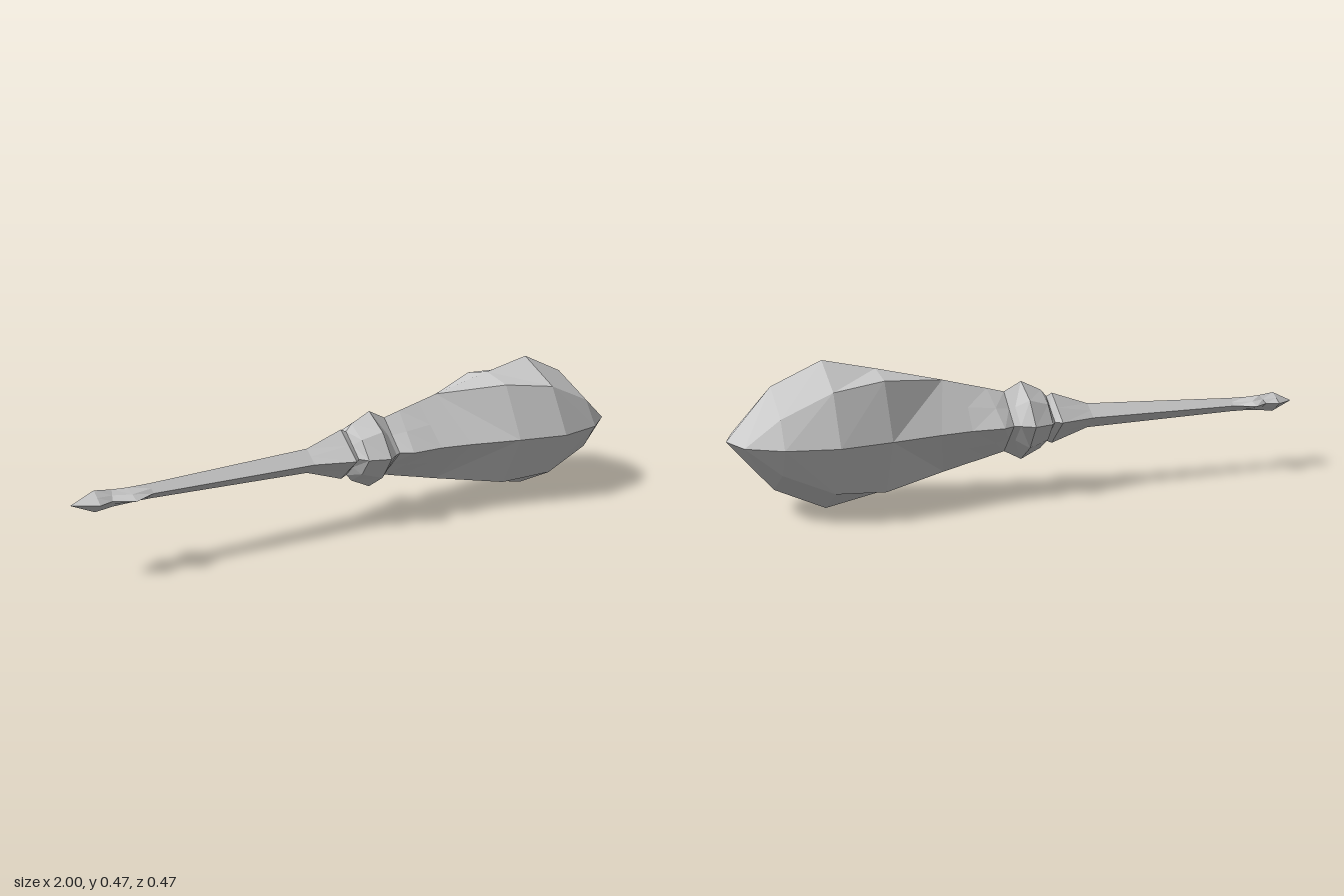
import * as THREE from 'three';

const AXIS_Y = 0.235;

// Ring: [top x, top radius, side x, side radius, diagonal].
// The diagonal is a scale (0.5 gives a plain diamond) or an explicit [x, y, z].
function ringPoints([xt, ry, xs, rz, d = 0.5]) {
  const diagonal = Array.isArray(d) ? d : [(xt + xs) / 2, ry * d, rz * d];
  return [[xt, ry, 0], diagonal, [xs, 0, rz]];
}

// Joins the rings in one quadrant and mirrors it around the x axis.
function loft(name, rings, material) {
  const pos = [];
  const pts = rings.map(ringPoints);
  for (const sy of [1, -1]) for (const sz of [1, -1]) {
    const add = (a, b, c) => {
      const u = new THREE.Vector3(...b).sub(new THREE.Vector3(...a));
      const v = new THREE.Vector3(...c).sub(new THREE.Vector3(...a));
      if (u.cross(v).length() < 1e-8) return;
      const tri = sy * sz > 0 ? [a, b, c] : [a, c, b];
      for (const p of tri) pos.push(p[0], p[1] * sy, p[2] * sz);
    };
    for (let i = 0; i < pts.length - 1; i++) {
      for (let j = 0; j < 2; j++) {
        const a = pts[i][j], b = pts[i][j + 1];
        const c = pts[i + 1][j + 1], d = pts[i + 1][j];
        add(a, b, c);
        add(a, c, d);
      }
    }
  }
  const geometry = new THREE.BufferGeometry();
  geometry.setAttribute('position', new THREE.Float32BufferAttribute(pos, 3));
  geometry.computeVertexNormals();
  const mesh = new THREE.Mesh(geometry, material);
  mesh.name = name;
  mesh.position.y = AXIS_Y;
  return mesh;
}

export function createModel() {
  const grey = new THREE.MeshStandardMaterial({ color: 0xcccccc, flatShading: true });
  grey.name = 'light grey';
  const group = new THREE.Group();
  group.name = 'tool';

  // Pointed tip with two small side barbs
  const neck = [-0.75, 0.024, -0.75, 0.03];
  group.add(loft('tip', [
    [-1, 0, -1, 0],
    [-0.925, 0.034, -0.925, 0.048],
    [-0.87, 0.027, -0.88, 0.03],
    [-0.82, 0.024, -0.82, 0.07],
    neck,
  ], grey));

  // Slender shaft widening into a flare
  const flareEnd = [-0.05, 0.075, -0.05, 0.078];
  group.add(loft('shaft', [
    neck,
    [-0.2, 0.041, -0.2, 0.052],
    [-0.07, 0.085, -0.07, 0.098],
    flareEnd,
  ], grey));

  // Faceted collar
  const collarEnd = [0.1, 0.1, 0.1, 0.095];
  group.add(loft('collar', [
    flareEnd,
    [-0.03, 0.098, -0.03, 0.11, 0.6],
    [0.04, 0.131, 0.04, 0.136, 0.6],
    [0.08, 0.11, 0.08, 0.105],
    collarEnd,
  ], grey));

  // Grip: a four-sided neck opening into an eight-sided bulb
  group.add(loft('grip', [
    collarEnd,
    [0.16, 0.115, 0.14, 0.12],
    [0.24, 0.134, 0.25, 0.122],
    [0.31, 0.151, 0.36, 0.146, [0.31, 0.151, 0]],
    [0.53, 0.2, 0.53, 0.195, [0.53, 0.175, 0.107]],
    [0.7, 0.235, 0.7, 0.235, [0.7, 0.156, 0.152]],
    [0.86, 0.162, 0.86, 0.205, [0.86, 0.085, 0.152]],
    [1, 0, 0.965, 0.127, [0.965, 0, 0.127]],
  ], grey));

  return group;
}
